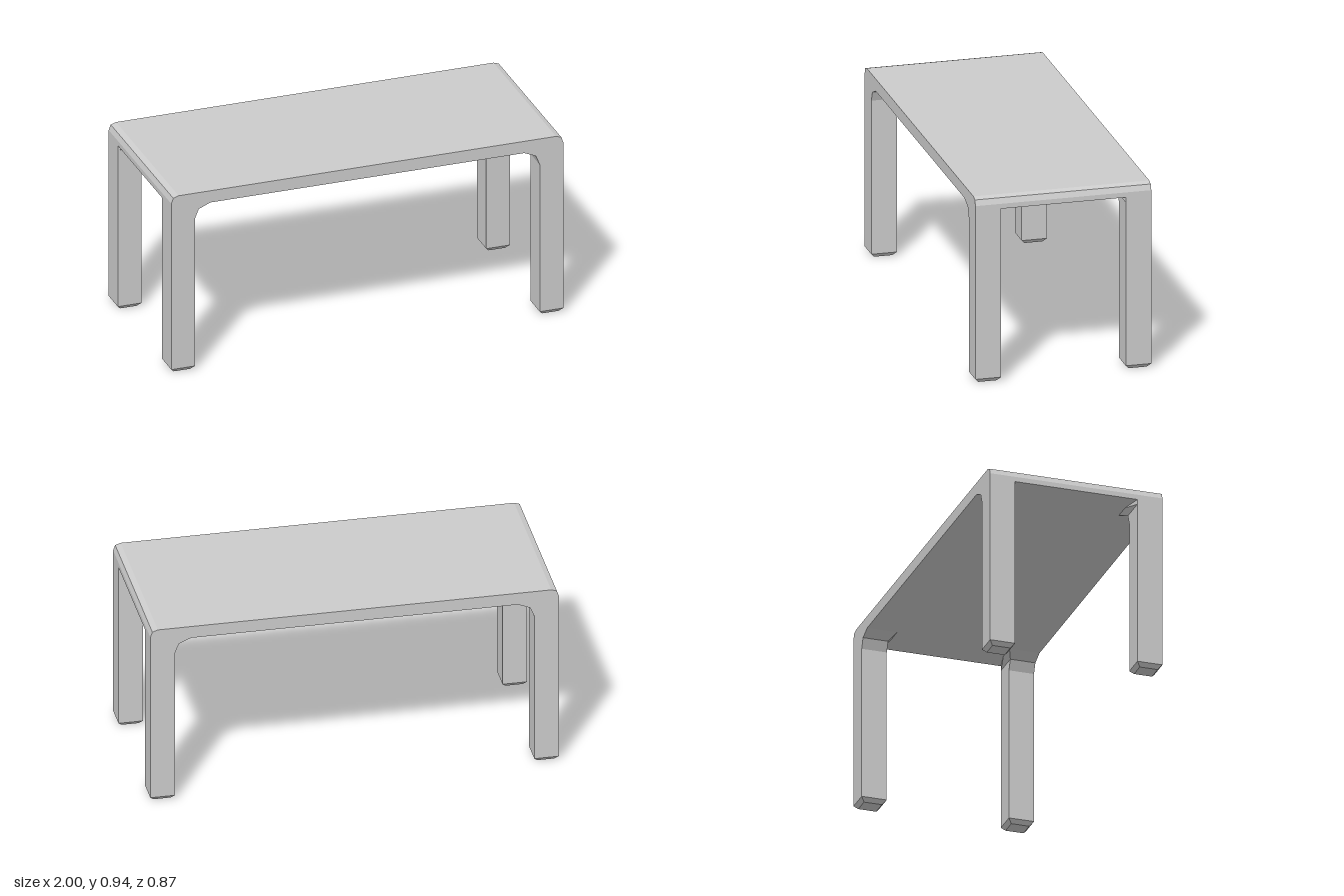
import * as THREE from 'three';

const W = 1, D = 0.437, H = 0.937, UNDER = 0.875;
const material = new THREE.MeshStandardMaterial({ color: 0xcccccc, flatShading: true });

// Table top: rounded-shoulder profile run from back to front
function makeTop() {
  const half = [[W, UNDER], [W, 0.9], [0.99, 0.928], [0.963, H]];
  const outline = [...half, ...half.map(([x, y]) => [-x, y]).reverse()];
  const shape = new THREE.Shape(outline.map(([x, y]) => new THREE.Vector2(x, y)));
  const geometry = new THREE.ExtrudeGeometry(shape, { depth: 2 * D, bevelEnabled: false });
  geometry.translate(0, 0, -D);
  const mesh = new THREE.Mesh(geometry, material);
  mesh.name = 'tableTop';
  return mesh;
}

// Horizontal section of a leg: outer edges fixed, inner corner split in two
function section(y, xIn, zIn = 0.31, xMid = 0.9, inset = 0) {
  return [
    [W - inset, y, D - inset],
    [W - inset, y, 0.31 + inset],
    [xMid, y, zIn + inset],
    [xIn + inset, y, zIn + inset],
    [xIn + inset, y, D - inset],
  ];
}

// Leg: chamfered foot, straight shaft, bracket flaring into the top
function makeLeg(sx, sz) {
  const rings = [
    section(0, 0.88, 0.31, 0.94, 0.018),
    section(0.02, 0.88),
    section(0.8, 0.88),
    section(0.85, 0.86, 0.31, 0.88),
    section(UNDER, 0.8, 0.285, 0.89),
  ];
  const positions = [];
  const triangle = (a, b, c) => {
    const corners = sx * sz > 0 ? [a, b, c] : [a, c, b];
    for (const [x, y, z] of corners) positions.push(x * sx, y, z * sz);
  };
  for (let r = 0; r < rings.length - 1; r++) {
    const low = rings[r], up = rings[r + 1], n = low.length;
    for (let i = 0; i < n; i++) {
      const j = (i + 1) % n;
      triangle(low[i], low[j], up[j]);
      triangle(low[i], up[j], up[i]);
    }
  }
  // Sole of the foot
  const sole = rings[0];
  for (let i = 1; i < sole.length - 1; i++) triangle(sole[0], sole[i + 1], sole[i]);

  const geometry = new THREE.BufferGeometry();
  geometry.setAttribute('position', new THREE.Float32BufferAttribute(positions, 3));
  geometry.computeVertexNormals();
  const mesh = new THREE.Mesh(geometry, material);
  mesh.name = (sz > 0 ? 'front' : 'back') + (sx > 0 ? 'Left' : 'Right') + 'Leg';
  return mesh;
}

export function createModel() {
  const table = new THREE.Group();
  table.name = 'table';
  table.add(makeTop());
  for (const sx of [1, -1]) for (const sz of [1, -1]) table.add(makeLeg(sx, sz));
  return table;
}
